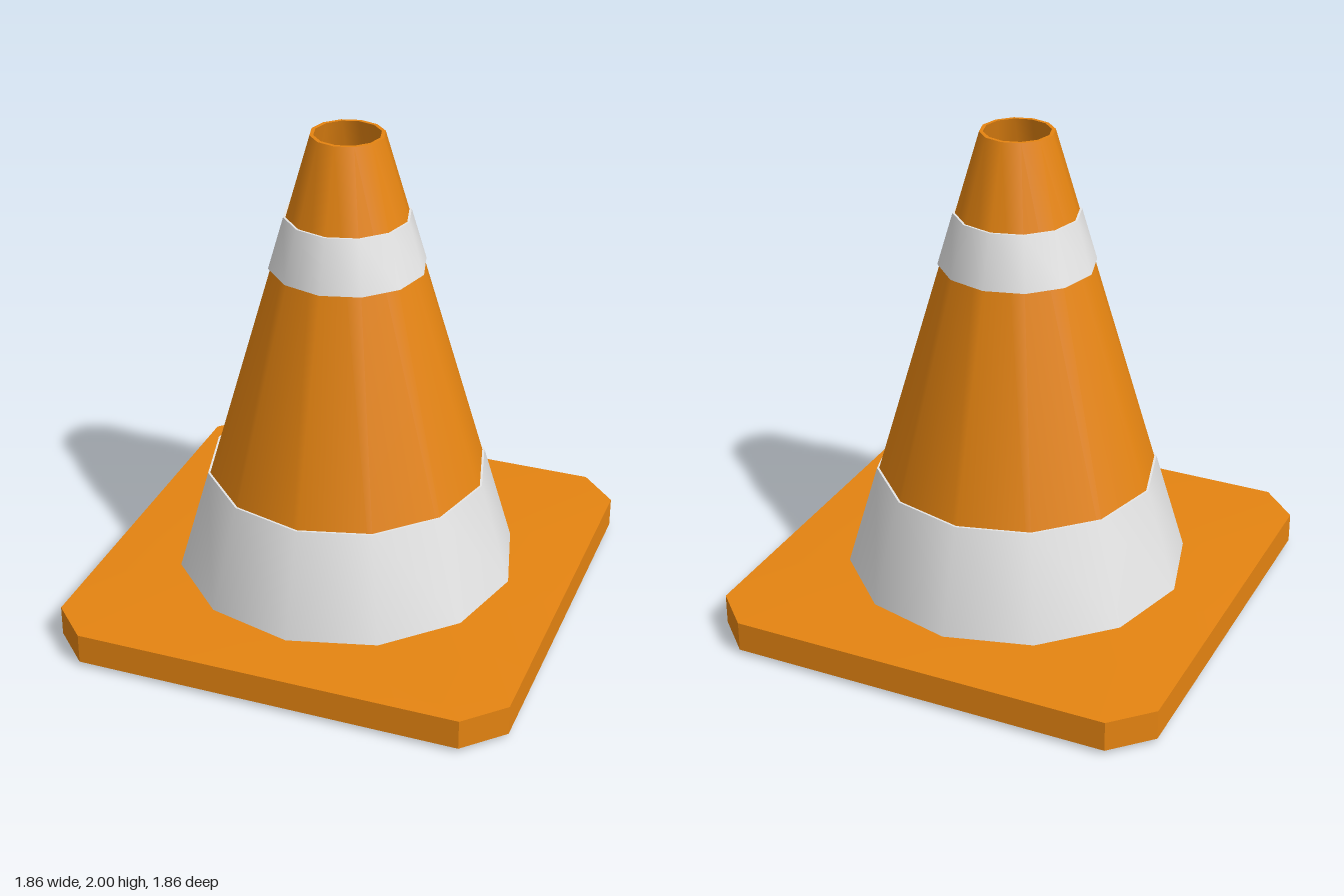
import * as THREE from 'three';
import { toCreasedNormals } from 'three/addons/utils/BufferGeometryUtils.js';

const SIDES = 12;
const CREASE = 0.6;

// Closed twelve-sided ring from [radius, y] pairs, outer wall going up first
function ring(profile) {
  const points = profile.map(([r, y]) => new THREE.Vector2(r, y));
  points.push(points[0].clone());
  return toCreasedNormals(new THREE.LatheGeometry(points, SIDES), CREASE);
}

// Outer cone radius at a height
const coneRadius = (y) => 0.685 - (y - 0.155) * 0.2927;

// Reflective sleeve that sits just proud of the cone
function band(y0, y1) {
  const out = 0.009, inset = 0.004;
  return ring([
    [coneRadius(y0) + out, y0], [coneRadius(y1) + out, y1],
    [coneRadius(y1) - inset, y1], [coneRadius(y0) - inset, y0],
  ]);
}

// Square outline with cut corners, as a radius by angle
function plateRadius(a) {
  const c = Math.abs(Math.cos(a)), s = Math.abs(Math.sin(a));
  return Math.min(0.93 / Math.max(c, s), 1.71 / (c + s));
}

// Twelve-sided outline, as a radius by angle
function polygonRadius(a, r) {
  const step = Math.PI / 6;
  const local = a - Math.floor(a / step + 1e-6) * step;
  return r * Math.cos(step / 2) / Math.cos(local - step / 2);
}

// Foot plate: rises gently towards the cone, open in the middle
function plateGeometry() {
  const corner = Math.atan2(0.78, 0.93);
  const quarter = [0, Math.PI / 6, corner, Math.PI / 2 - corner, Math.PI / 3];
  const angles = [];
  for (let q = 0; q < 4; q++) quarter.forEach((a) => angles.push(a + q * Math.PI / 2));

  const loops = [
    [(a) => polygonRadius(a, 0.62), 0],
    [plateRadius, 0.018],
    [plateRadius, 0.142],
    [(a) => polygonRadius(a, 0.69), 0.155],
    [(a) => polygonRadius(a, 0.62), 0.155],
  ];
  const n = loops.length, m = angles.length;
  const positions = [], index = [];
  angles.forEach((a, i) => {
    loops.forEach(([radius, y], j) => {
      const r = radius(a);
      positions.push(r * Math.sin(a), y, r * Math.cos(a));
      const i2 = (i + 1) % m, j2 = (j + 1) % n;
      const p = i * n + j, q = i2 * n + j, s = i2 * n + j2, t = i * n + j2;
      index.push(p, q, t, s, t, q);
    });
  });
  const g = new THREE.BufferGeometry();
  g.setAttribute('position', new THREE.Float32BufferAttribute(positions, 3));
  g.setIndex(index);
  return toCreasedNormals(g, CREASE);
}

export function createModel() {
  const orange = new THREE.MeshStandardMaterial({ color: 0xe58411 });
  orange.name = 'orange plastic';
  const white = new THREE.MeshStandardMaterial({ color: 0xe5e5e5 });
  white.name = 'reflective white';

  const group = new THREE.Group();
  group.name = 'trafficCone';
  const add = (name, geometry, material) => {
    const mesh = new THREE.Mesh(geometry, material);
    mesh.name = name;
    group.add(mesh);
  };

  add('footPlate', plateGeometry(), orange);

  // Hollow cone, open at both ends
  add('coneBody', ring([
    [coneRadius(0.08), 0.08], [coneRadius(2), 2], [0.13, 2], [0.6, 0.08],
  ]), orange);

  add('lowerBand', band(0.15, 0.58), white);
  add('upperBand', band(1.465, 1.675), white);

  return group;
}
